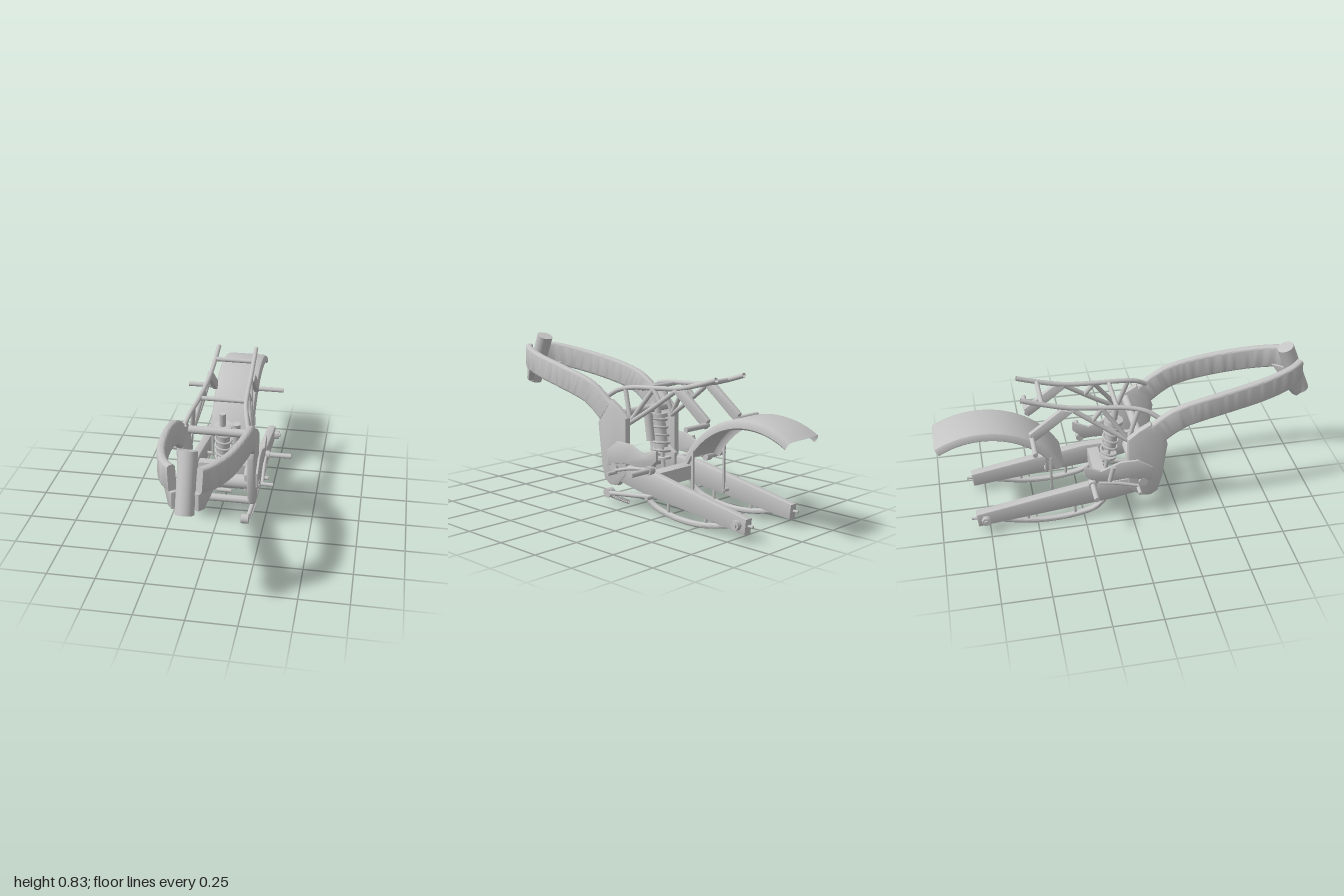
import * as THREE from 'three';
import { toCreasedNormals } from 'three/addons/utils/BufferGeometryUtils.js';

const V = (a) => new THREE.Vector3(...a);

export function createModel() {
  const model = new THREE.Group();
  model.name = 'motorcycleFrame';
  const metal = new THREE.MeshStandardMaterial({ color: 0xc4c4c4, side: THREE.DoubleSide });
  metal.name = 'bare metal';

  const add = (name, geo) => {
    const m = new THREE.Mesh(geo, metal);
    m.name = name;
    model.add(m);
    return m;
  };
  // Straight round bar between two points
  const bar = (name, a, b, r, sides = 20, r2 = r) => {
    const p = V(a), q = V(b), d = q.clone().sub(p);
    const m = add(name, new THREE.CylinderGeometry(r2, r, d.length(), sides));
    m.position.copy(p).lerp(q, 0.5);
    m.quaternion.setFromUnitVectors(new THREE.Vector3(0, 1, 0), d.normalize());
    return m;
  };
  const cross = (name, x, y, z, r) => bar(name, [-x, y, z], [x, y, z], r, 28);
  // Curved round tube through points
  const tube = (name, pts, r) =>
    add(name, new THREE.TubeGeometry(new THREE.CatmullRomCurve3(pts.map(V)), 40, r, 12));
  // Side profile of [z, y] points, spanning xa to xb
  const plate = (name, pts, xa, xb, bevel = 0.004) => {
    const shape = new THREE.Shape(pts.map(([z, y]) => new THREE.Vector2(z, y)));
    const d = Math.abs(xb - xa);
    const g = new THREE.ExtrudeGeometry(shape, {
      depth: d - 2 * bevel, bevelThickness: bevel, bevelSize: bevel, bevelOffset: -bevel, bevelSegments: 2,
    });
    g.translate(0, 0, bevel);
    g.rotateY(-Math.PI / 2);
    g.translate(Math.max(xa, xb), 0, 0);
    return add(name, toCreasedNormals(g, 0.6));
  };
  // Rounded rectangular section swept along a path, kept upright
  const sweep = (name, pts, w, h, r, steps = 48) => {
    const curve = new THREE.CatmullRomCurve3(pts.map(V));
    const ring = [];
    [[1, 1], [-1, 1], [-1, -1], [1, -1]].forEach(([sx, sy], k) => {
      for (let i = 0; i < 5; i++) {
        const a = (k + i / 4) * Math.PI / 2;
        ring.push([sx * (w / 2 - r) + r * Math.cos(a), sy * (h / 2 - r) + r * Math.sin(a)]);
      }
    });
    const n = ring.length, pos = [], idx = [];
    for (let i = 0; i <= steps; i++) {
      const c = curve.getPointAt(i / steps), t = curve.getTangentAt(i / steps);
      const s = new THREE.Vector3(0, 1, 0).cross(t).normalize(), u = t.clone().cross(s);
      for (const [p, q] of ring) pos.push(...c.clone().addScaledVector(s, p).addScaledVector(u, q).toArray());
      if (i < steps) for (let j = 0; j < n; j++) {
        const a = i * n + j, b = i * n + (j + 1) % n;
        idx.push(a, b, a + n, b, b + n, a + n);
      }
    }
    const e = steps * n;
    for (let j = 1; j < n - 1; j++) idx.push(0, j + 1, j, e, e + j, e + j + 1);
    const g = new THREE.BufferGeometry();
    g.setAttribute('position', new THREE.Float32BufferAttribute(pos, 3));
    g.setIndex(idx);
    return add(name, toCreasedNormals(g, 0.7));
  };
  const spring = (name, a, b, radius, wire, turns) => {
    const len = V(a).distanceTo(V(b)), c = new THREE.Curve();
    c.getPoint = (t, out = new THREE.Vector3()) => {
      const k = t * turns * Math.PI * 2;
      return out.set(radius * Math.cos(k), (t - 0.5) * len, radius * Math.sin(k));
    };
    const m = add(name, new THREE.TubeGeometry(c, turns * 22, wire, 8));
    m.position.copy(V(a)).lerp(V(b), 0.5);
    m.quaternion.setFromUnitVectors(new THREE.Vector3(0, 1, 0), V(b).sub(V(a)).normalize());
  };

  // Head tube and frame cross members
  bar('headTube', [0, 0.553, 0.96], [0, 0.818, 0.853], 0.044, 36);
  cross('upperCrossTube', 0.18, 0.495, 0.04, 0.022);
  cross('swingarmPivotTube', 0.165, 0.213, 0.053, 0.039);
  cross('lowerCrossTube', 0.172, 0.152, 0.135, 0.02);

  for (const s of [1, -1]) {
    // Main beam, its head gusset and the pivot plate
    sweep('mainBeam', [[0.062, 0.71, 0.92], [0.105, 0.703, 0.865], [0.155, 0.68, 0.72], [0.186, 0.645, 0.5],
      [0.193, 0.617, 0.36], [0.191, 0.59, 0.27], [0.188, 0.553, 0.205], [0.185, 0.5, 0.135]]
      .map(([x, y, z]) => [s * x, y, z]), 0.04, 0.128, 0.015);
    const gusset = plate('headGusset', [[-0.065, 0.075], [0.06, 0.065], [0.06, -0.02], [0.02, -0.025]], -0.018, 0.018);
    gusset.position.set(s * 0.078, 0.585, 0.885);
    gusset.rotation.y = -s * 0.55;
    plate('pivotPlate', [[0.19, 0.43], [0.163, 0.217], [0.142, 0.136], [0.104, 0.11], [0.045, 0.115],
      [-0.02, 0.185], [-0.02, 0.48], [0.04, 0.53], [0.1, 0.565], [0.16, 0.5]], s * 0.165, s * 0.202, 0.008);

    // Swingarm side, pivot lug, axle hardware and lower brace
    plate('swingarm', [[0.08, 0.235], [-0.2, 0.225], [-0.82, 0.112], [-0.812, 0.032], [-0.1, 0.112],
      [0.04, 0.14], [0.08, 0.18]], s * 0.15, s * 0.198, 0.008);
    plate('swingarmLug', [[0.085, 0.17], [0.085, 0.27], [0.065, 0.295], [0.02, 0.295], [-0.05, 0.25], [-0.05, 0.17]],
      s * 0.135, s * 0.163, 0.008);
    bar('axleNut', [s * 0.196, 0.078, -0.77], [s * 0.224, 0.078, -0.77], 0.025, 6);
    bar('axleEnd', [s * 0.22, 0.078, -0.77], [s * 0.232, 0.078, -0.77], 0.013);
    bar('chainAdjuster', [s * 0.175, 0.076, -0.8], [s * 0.175, 0.076, -0.845], 0.007);
    sweep('swingarmBrace', [[-0.13, 0.12], [-0.19, 0.057], [-0.3, 0.025], [-0.43, 0.014], [-0.55, 0.022],
      [-0.66, 0.045], [-0.76, 0.07]].map(([z, y]) => [s * 0.175, y, z]), 0.03, 0.027, 0.01);
    for (const z of [-0.3, -0.55])
      bar('braceStrut', [s * 0.175, 0.02, z], [s * 0.175, 0.12, z], 0.008, 10);

    // Foot peg, its bracket and the passenger peg
    plate('pegBracket', [[0.11, 0.3], [0.035, 0.355], [-0.06, 0.355], [-0.165, 0.312], [-0.25, 0.35], [-0.25, 0.297],
      [-0.19, 0.238], [-0.02, 0.248], [0.11, 0.218]], s * 0.198, s * 0.214);
    bar('footPeg', [s * 0.2, 0.245, -0.21], [s * 0.355, 0.245, -0.21], 0.014);
    bar('pegMount', [s * 0.2, 0.245, -0.21], [s * 0.235, 0.245, -0.21], 0.022);
    plate('passengerBracket', [[-0.285, 0.645], [-0.35, 0.66], [-0.515, 0.532], [-0.495, 0.485], [-0.455, 0.512]],
      s * 0.105, s * 0.132);
    bar('passengerPeg', [s * 0.11, 0.505, -0.5], [s * 0.27, 0.505, -0.5], 0.013);

    // Foot lever
    tube('footLever', [[0.218, 0.245, -0.18], [0.222, 0.232, -0.08], [0.228, 0.205, 0.03]]
      .map(([x, y, z]) => [s * x, y, z]), 0.009);
    bar('leverPad', [s * 0.222, 0.195, 0.03], [s * 0.286, 0.195, 0.03], 0.01);
    bar('pivotBolt', [s * 0.2, 0.213, 0.06], [s * 0.216, 0.213, 0.06], 0.025, 6);

    // Trellis seat rails
    const rail = (name, pts) => tube(name, pts.map(([x, y, z]) => [s * x, y, z]), 0.0125);
    rail('seatRail', [[0.165, 0.575, 0.15], [0.148, 0.612, 0.09], [0.13, 0.633, 0], [0.118, 0.645, -0.15],
      [0.112, 0.66, -0.3], [0.108, 0.69, -0.42], [0.105, 0.73, -0.545]]);
    rail('lowerRail', [[0.16, 0.45, -0.005], [0.135, 0.54, -0.14], [0.112, 0.655, -0.3]]);
    rail('frontBrace', [[0.138, 0.62, 0.045], [0.158, 0.46, -0.01]]);
    rail('middleBrace', [[0.158, 0.46, -0.01], [0.12, 0.64, -0.14]]);
    rail('rearBrace', [[0.12, 0.64, -0.14], [0.126, 0.575, -0.19]]);

    // Fender stay
    plate('fenderStay', [[-0.405, 0.37], [-0.418, 0.37], [-0.418, 0.1], [-0.405, 0.1]], s * 0.113, s * 0.125, 0.002);
    bar('stayFoot', [s * 0.115, 0.115, -0.412], [s * 0.16, 0.115, -0.412], 0.01);
  }
  cross('seatCrossTube', 0.128, 0.633, -0.06, 0.012);
  cross('rearSeatCrossTube', 0.108, 0.695, -0.44, 0.012);
  plate('swingarmCrossMember', [[-0.12, 0.21], [-0.18, 0.205], [-0.18, 0.13], [-0.12, 0.13]], -0.155, 0.155, 0.008);

  // Rear fender: channel section turned about the axle line
  const half = [[0.43, 0.122], [0.452, 0.12], [0.464, 0.112], [0.47, 0.095]];
  const outer = [...half, ...half.map(([r, x]) => [r, -x]).reverse()];
  const inner = outer.map(([r, x]) => [r - 0.008, x * 0.93]).reverse();
  const ring = [...outer, ...inner, outer[0]].map(([r, x]) => new THREE.Vector2(r, x));
  const fender = new THREE.LatheGeometry(ring, 40, 0, 1.62);
  fender.rotateY(-Math.PI / 2);
  fender.rotateX(-Math.PI / 2);
  // Axis to x, with the arc running from low at the front to high at the back
  fender.copy(new THREE.LatheGeometry(ring, 40, Math.PI / 2 - 2.11 + 1.01, 1.62).rotateZ(Math.PI / 2));
  const fenderMesh = add('rearFender', toCreasedNormals(fender, 0.6));
  fenderMesh.position.set(0, 0.093, -0.757);
  fenderMesh.rotation.x = Math.PI / 2 - 2.11 + 1.01 - 0.48;

  // Shock absorber
  const at = (y, x = 0) => [x, y, -0.045 - (0.56 - y) * 0.15];
  bar('shockRod', at(0.16), at(0.35), 0.011);
  bar('shockBody', at(0.31), at(0.48), 0.035, 28);
  bar('springCollar', at(0.465), at(0.485), 0.05, 28);
  bar('lowerSpringSeat', at(0.245), at(0.258), 0.045, 28);
  bar('shockTopMount', at(0.48), at(0.56), 0.018);
  spring('shockSpring', at(0.26), at(0.465), 0.042, 0.0065, 5);
  bar('shockReservoir', at(0.355, 0.073), at(0.5, 0.073), 0.022, 24);
  bar('reservoirLink', at(0.48), at(0.48, 0.073), 0.012);

  // Suspension linkage
  cross('linkagePivot', 0.042, 0.06, -0.1, 0.012);
  for (const x of [-0.03, 0.03]) bar('linkageRod', [x, 0.06, -0.1], [x, 0.18, -0.12], 0.006, 12);
  cross('linkageTop', 0.02, 0.125, -0.11, 0.014);

  // Side stand on the left, with return spring
  bar('standLeg', [0.17, 0.052, 0.13], [0.195, 0.1, -0.2], 0.012);
  bar('standFoot', [0.135, 0.048, 0.155], [0.175, 0.048, 0.155], 0.026, 24);
  bar('standPivot', [0.185, 0.1, -0.2], [0.235, 0.1, -0.2], 0.011);
  spring('standSpring', [0.175, 0.042, 0.12], [0.185, 0.036, -0.025], 0.009, 0.003, 9);

  // Brake cylinder on the right
  bar('brakeCylinder', [-0.223, 0.255, -0.12], [-0.223, 0.34, -0.1], 0.012);

  return model;
}
